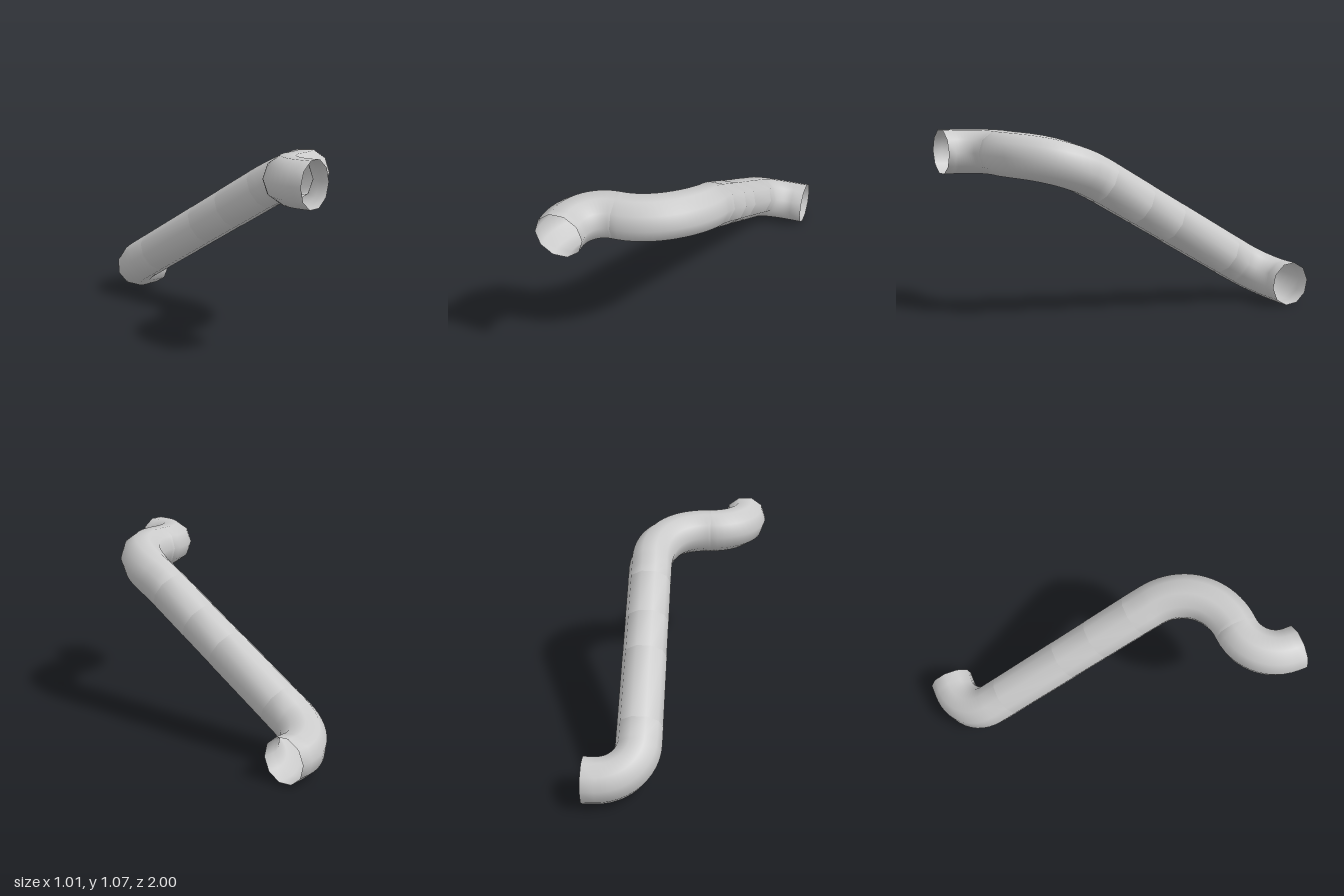
import * as THREE from 'three';

const SIDES = 10;
const RADIUS = 0.1315;
const V = (x, y, z) => new THREE.Vector3(x, y, z);

// Key points of the centre line
const slopeTop = V(0.21, 0.797, 0.26);
const slopeEnd = V(0.21, 0.303, -0.585);
const down = slopeEnd.clone().sub(slopeTop).normalize();
const slopeUp = V(1, 0, 0).cross(down).normalize();
const Y = V(0, 1, 0);

// Points of a quarter bend from direction a to direction b
function bend(start, a, b, r, steps = 12) {
  const points = [];
  for (let i = 0; i <= steps; i++) {
    const t = (i / steps) * Math.PI / 2;
    points.push(start.clone().addScaledVector(a, r * Math.sin(t)).addScaledVector(b, r * (1 - Math.cos(t))));
  }
  return points;
}

// Open, smooth ten-sided pipe along the points, with given end directions
function pipe(name, points, startDir, endDir, up, radius = RADIUS) {
  const positions = [], index = [];
  const last = points.length - 1;
  points.forEach((p, i) => {
    const t = i === 0 ? startDir.clone() : i === last ? endDir.clone()
      : points[i + 1].clone().sub(p).normalize().add(p.clone().sub(points[i - 1]).normalize());
    t.normalize();
    const side = t.clone().cross(up).normalize();
    const top = side.clone().cross(t);
    for (let j = 0; j < SIDES; j++) {
      const a = (j / SIDES) * Math.PI * 2;
      const v = p.clone().addScaledVector(side, radius * Math.cos(a)).addScaledVector(top, radius * Math.sin(a));
      positions.push(v.x, v.y, v.z);
      if (i < last) {
        const k = (j + 1) % SIDES, r0 = i * SIDES, r1 = r0 + SIDES;
        index.push(r0 + j, r1 + j, r0 + k, r1 + j, r1 + k, r0 + k);
      }
    }
  });
  const geometry = new THREE.BufferGeometry();
  geometry.setAttribute('position', new THREE.Float32BufferAttribute(positions, 3));
  geometry.setIndex(index);
  geometry.computeVertexNormals();
  const mesh = new THREE.Mesh(geometry, new THREE.MeshStandardMaterial({ color: 0xcccccc, side: THREE.DoubleSide }));
  mesh.name = name;
  return mesh;
}

export function createModel() {
  const group = new THREE.Group();
  group.name = 'bentPipe';
  const right = V(1, 0, 0), back = V(0, 0, -1);

  // Upper mouth, turning from the front opening to the side
  const mouth = [V(-0.377, 0.955, 1), ...bend(V(-0.377, 0.955, 0.952), back, right, 0.222)];
  group.add(pipe('upperElbow', mouth, back, right, Y));

  // Wide bend that turns back while dipping into the slope
  const wide = bend(V(-0.155, 0.955, 0.73), right, back, 0.365, 20);
  wide.push(V(0.21, 0, 0.31), slopeTop.clone());
  wide.forEach(p => { p.y = 0.955 - 0.158 * Math.pow(Math.max(0, 0.73 - p.z) / 0.47, 1.75); });
  group.add(pipe('wideBend', wide, right, down, Y));

  // Straight lengths of the slope, each tucked slightly into its neighbour
  const length = slopeTop.distanceTo(slopeEnd);
  const joints = [0, 0.28, 0.537, length];
  for (let i = 0; i < 3; i++) {
    const ends = [joints[i] - 0.015, joints[i + 1] + (i === 2 ? 0.03 : 0)];
    const points = ends.map(s => slopeTop.clone().addScaledVector(down, s));
    group.add(pipe('straightPipe' + (i + 1), points, down, down, Y, RADIUS - (i % 2 ? 0.0015 : 0.0005)));
  }

  // Lower elbow, bending within the plane of the slope to the side opening
  const bendStart = slopeEnd.clone().addScaledVector(down, 0.11);
  const lower = [slopeEnd.clone(), ...bend(bendStart, down, right, 0.222)];
  const tip = lower[lower.length - 1].clone();
  tip.x = 0.505;
  lower.push(tip);
  group.add(pipe('lowerElbow', lower, down, right, slopeUp));

  return group;
}
